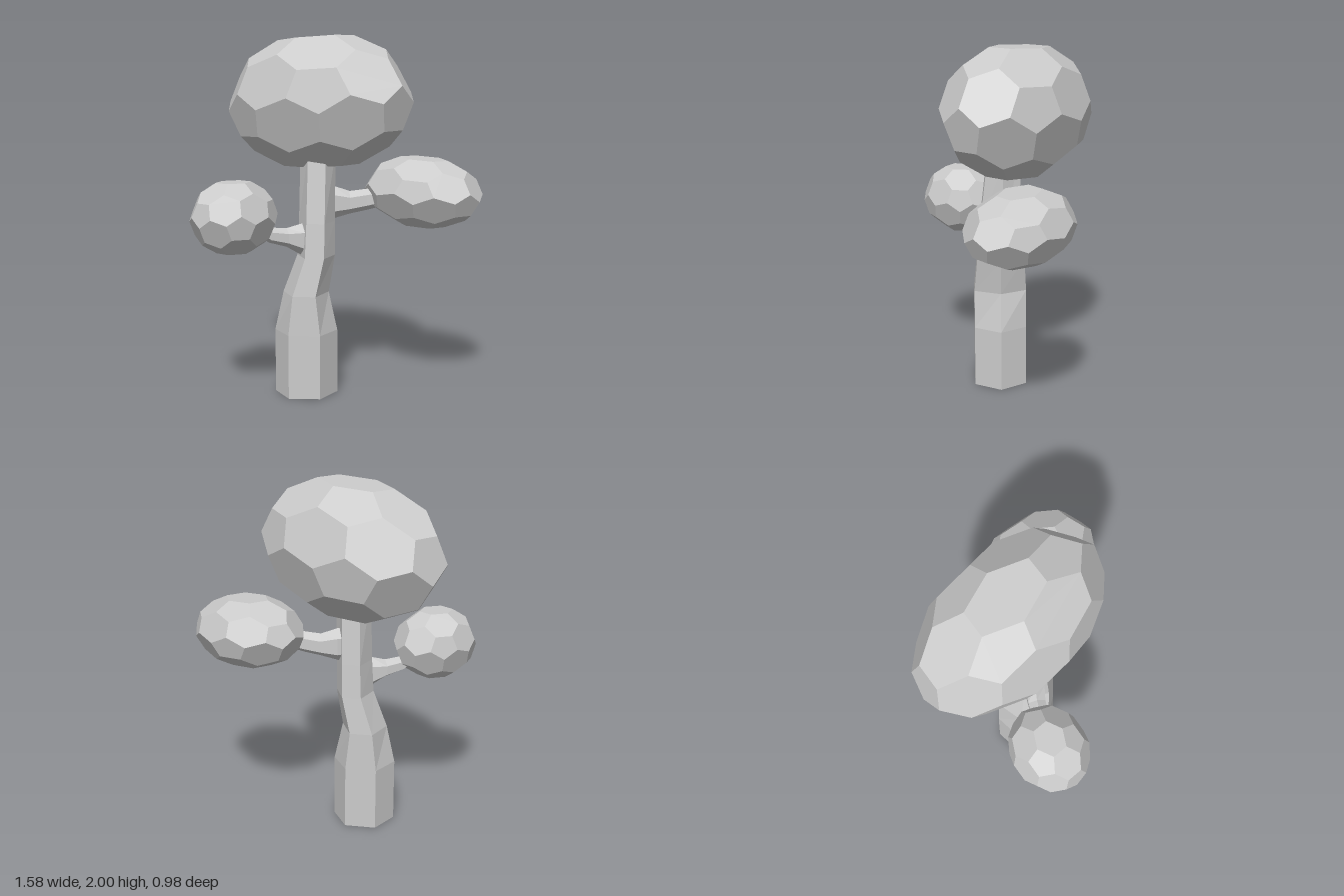
import * as THREE from 'three';
import { ConvexGeometry } from 'three/addons/geometries/ConvexGeometry.js';

const V = (x, y, z) => new THREE.Vector3(x, y, z);
const UP = V(0, 1, 0);
const material = new THREE.MeshStandardMaterial({ color: 0xcccccc, flatShading: true });

// Six-sided loft: rings are [x, y, z, radius along u, radius along v]
function loft(name, rings, u, v) {
  const N = 6, pos = [], index = [];
  for (const [x, y, z, a, b] of rings) {
    for (let i = 0; i < N; i++) {
      const t = (i / N) * Math.PI * 2;
      const p = V(x, y, z).addScaledVector(u, a * Math.cos(t)).addScaledVector(v, b * Math.sin(t) / Math.sin(Math.PI / 3));
      pos.push(p.x, p.y, p.z);
    }
  }
  for (let r = 0; r < rings.length - 1; r++) {
    for (let i = 0; i < N; i++) {
      const a = r * N + i, b = r * N + (i + 1) % N;
      index.push(a, b, b + N, a, b + N, a + N);
    }
  }
  const top = (rings.length - 1) * N;
  for (let i = 1; i < N - 1; i++) index.push(0, i + 1, i, top, top + i, top + i + 1);
  const geo = new THREE.BufferGeometry();
  geo.setAttribute('position', new THREE.Float32BufferAttribute(pos, 3));
  geo.setIndex(index);
  const flat = geo.toNonIndexed();
  flat.computeVertexNormals();
  const mesh = new THREE.Mesh(flat, material);
  mesh.name = name;
  return mesh;
}

// Corners of a ball made of pentagons and hexagons: each icosahedron edge cut in thirds
function ballPoints() {
  const g = (1 + Math.sqrt(5)) / 2, ico = [], out = [];
  for (const s of [-1, 1]) for (const t of [-g, g]) ico.push(V(0, s, t), V(s, t, 0), V(t, 0, s));
  for (const a of ico) for (const b of ico) {
    if (a !== b && a.distanceTo(b) < 2.1) out.push(a.clone().lerp(b, 1 / 3).normalize());
  }
  // Turn a hexagon to face straight up
  const level = new THREE.Quaternion().setFromUnitVectors(V(1, 1, 1).normalize(), UP);
  return out.map(p => p.applyQuaternion(level));
}

// Foliage: a ball spun about y, stretched, turned and fitted to the box min..max
function crown(name, spin, radii, yaw, tilt, min, max) {
  const turn = new THREE.Euler(0, yaw, tilt, 'YXZ');
  const pts = ballPoints().map(p => p.applyAxisAngle(UP, spin).multiply(V(...radii)).applyEuler(turn));
  const box = new THREE.Box3().setFromPoints(pts);
  const size = box.getSize(V()), lo = V(...min), span = V(...max).sub(lo);
  for (const p of pts) p.sub(box.min).divide(size).multiply(span).add(lo);
  const mesh = new THREE.Mesh(new ConvexGeometry(pts), material);
  mesh.name = name;
  return mesh;
}

function branch(name, rings) {
  const a = rings[0], b = rings[rings.length - 1];
  const d = V(b[0] - a[0], 0, b[2] - a[2]).normalize();
  return loft(name, rings, UP, d.cross(UP));
}

export function createModel() {
  const tree = new THREE.Group();
  tree.name = 'tree';

  // Bent, tapering trunk
  tree.add(loft('trunk', [
    [-0.19, 0, 0.045, 0.175, 0.15],
    [-0.19, 0.36, 0.045, 0.175, 0.15],
    [-0.19, 0.58, 0.045, 0.127, 0.15],
    [-0.133, 0.79, 0.043, 0.105, 0.135],
    [-0.128, 0.98, 0.04, 0.1, 0.122],
    [-0.122, 1.36, 0.03, 0.097, 0.09],
  ], V(1, 0, 0), V(0, 0, -1)));

  // Branches flaring where they leave the trunk
  tree.add(branch('rightBranch', [
    [-0.15, 0.89, 0.08, 0.09, 0.045],
    [-0.21, 0.885, 0.1, 0.088, 0.055],
    [-0.29, 0.9, 0.13, 0.052, 0.048],
    [-0.38, 0.92, 0.175, 0.042, 0.045],
    [-0.5, 1.0, 0.23, 0.04, 0.04],
  ]));
  tree.add(branch('leftBranch', [
    [-0.1, 1.08, 0, 0.09, 0.045],
    [-0.045, 1.078, -0.015, 0.094, 0.055],
    [0.05, 1.075, -0.03, 0.064, 0.048],
    [0.14, 1.09, -0.04, 0.06, 0.045],
    [0.3, 1.12, -0.045, 0.05, 0.045],
  ]));

  // Foliage masses
  tree.add(crown('topCrown', 0.3, [0.576, 0.365, 0.364], -0.56, 0.06,
    [-0.65, 1.27, -0.49], [0.4, 2, 0.38]));
  tree.add(crown('leftCrown', 0.2, [0.355, 0.19, 0.264], -0.64, -0.05,
    [0.13, 0.945, -0.335], [0.785, 1.33, 0.265]));
  tree.add(crown('rightCrown', 0.8, [0.25, 0.19, 0.21], 0.5, 0,
    [-0.79, 0.84, 0.03], [-0.33, 1.22, 0.485]));

  return tree;
}
